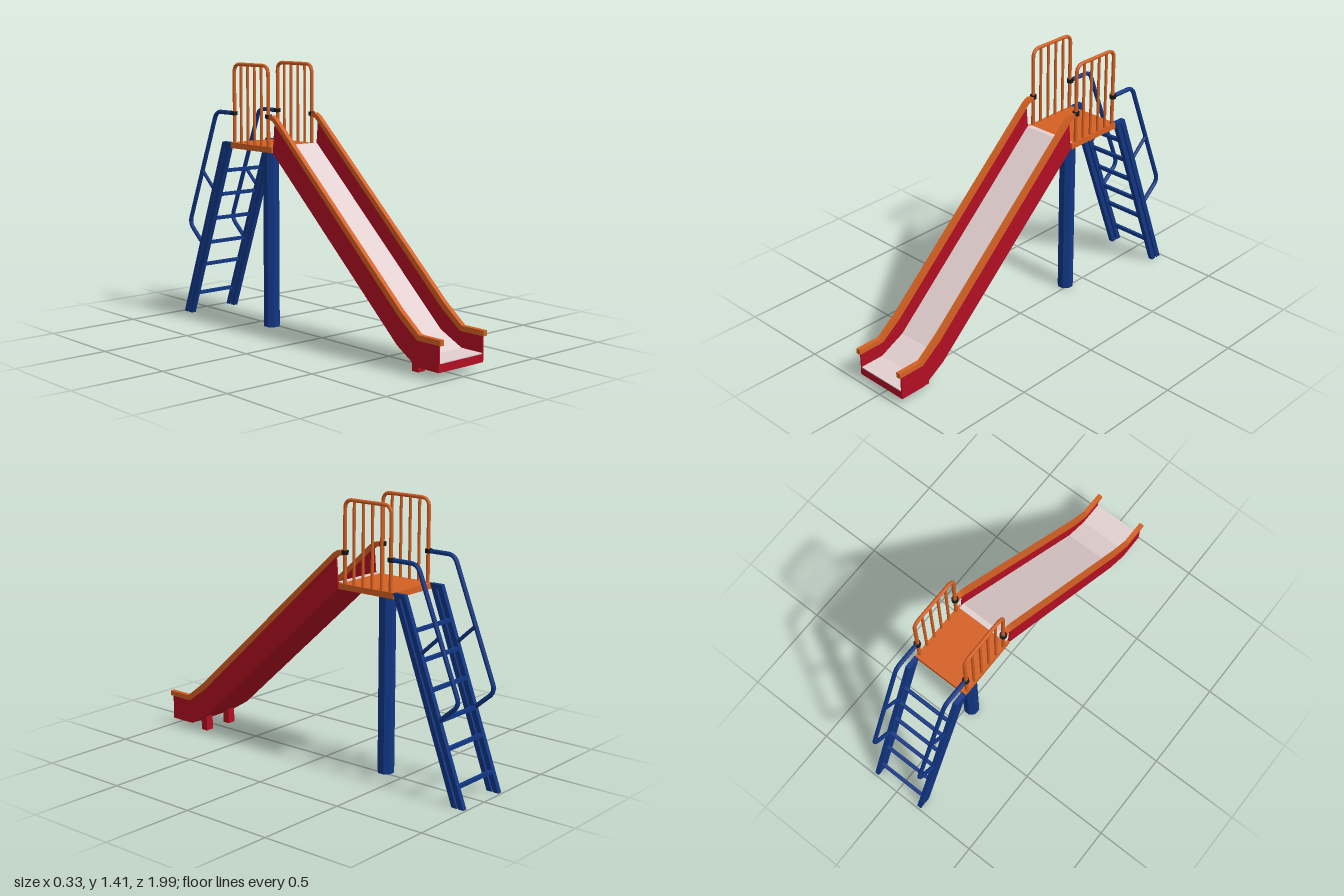
import * as THREE from 'three';

const mat = (name, color) => {
  const m = new THREE.MeshStandardMaterial({ color });
  m.name = name;
  return m;
};

export function createModel() {
  const orange = mat('orange', 0xd46022);
  const red = mat('red', 0xb20f22);
  const blue = mat('blue', 0x103684);
  const pale = mat('pale slide surface', 0xe2cfcf);
  const black = mat('black', 0x141414);

  const model = new THREE.Group();
  model.name = 'playgroundSlide';

  const add = (name, geometry, material, x = 0, y = 0, z = 0) => {
    const mesh = new THREE.Mesh(geometry, material);
    mesh.name = name;
    mesh.position.set(x, y, z);
    model.add(mesh);
    return mesh;
  };
  const box = (name, w, h, d, material, x, y, z) =>
    add(name, new THREE.BoxGeometry(w, h, d), material, x, y, z);
  // Side profile given as [z, y] points, extruded across x and centred on x
  const profile = (name, points, width, material, x = 0) => {
    const shape = new THREE.Shape(points.map(([z, y]) => new THREE.Vector2(z, y)));
    const geo = new THREE.ExtrudeGeometry(shape, { depth: width, bevelEnabled: false });
    geo.rotateY(-Math.PI / 2).translate(width / 2, 0, 0);
    return add(name, geo, material, x);
  };
  // Tube through [z, y] points with rounded corners
  const bentTube = (name, points, radius, bend, material, x) => {
    const p = points.map(([z, y]) => new THREE.Vector3(0, y, z));
    const path = new THREE.CurvePath();
    let from = p[0];
    for (let i = 1; i < p.length - 1; i++) {
      const a = p[i].clone().add(p[i - 1].clone().sub(p[i]).setLength(bend));
      const b = p[i].clone().add(p[i + 1].clone().sub(p[i]).setLength(bend));
      path.add(new THREE.LineCurve3(from, a));
      path.add(new THREE.QuadraticBezierCurve3(a, p[i], b));
      from = b;
    }
    path.add(new THREE.LineCurve3(from, p[p.length - 1]));
    return add(name, new THREE.TubeGeometry(path, 90, radius, 8), material, x);
  };

  // Chute: red bed with a thin pale sliding surface
  const under = [[0.985, 0.04], [0.84, 0.04], [0.71, 0.12], [-0.21, 0.955]];
  const top = [[-0.205, 0.98], [0.71, 0.146], [0.85, 0.081], [0.985, 0.081]];
  profile('chuteBed', [...under, ...top], 0.29, red);
  profile('slidingSurface', [
    ...[...top].reverse(), [-0.23, 0.98],
    [-0.23, 0.988], [-0.202, 0.988], [0.712, 0.152], [0.851, 0.086], [0.985, 0.086],
  ], 0.286, pale);

  // Feet under the chute exit
  for (const s of [-1, 1]) box('chuteFoot', 0.046, 0.08, 0.04, red, s * 0.085, 0.04, 0.79);

  // Platform and its post
  box('platform', 0.312, 0.03, 0.34, orange, 0, 0.97, -0.385);
  const post = new THREE.CylinderGeometry(0.044, 0.044, 0.957, 8).toNonIndexed();
  post.rotateY(Math.PI / 8).computeVertexNormals();
  add('supportPost', post, blue, -0.022, 0.4785, -0.383);

  for (const s of [-1, 1]) {
    const x = s * 0.147;

    // Chute side wall and capping rail
    profile('chuteWall', [
      ...under, [-0.195, 1.12], [0.73, 0.27], [0.85, 0.18], [0.985, 0.18],
    ], 0.008, red, x);
    profile('chuteRail', [
      [1, 0.17], [0.85, 0.17], [0.73, 0.257], [-0.19, 1.105], [-0.21, 1.122], [-0.25, 1.127],
      [-0.25, 1.147], [-0.208, 1.147], [-0.18, 1.13], [0.74, 0.29], [0.86, 0.197], [1, 0.197],
    ], 0.025, orange, s * 0.145);

    // Guard hoop with upright bars
    bentTube('guardHoop', [[-0.25, 0.975], [-0.25, 1.4], [-0.532, 1.4], [-0.532, 0.975]],
      0.0095, 0.045, orange, x);
    for (let i = 1; i <= 4; i++) {
      add('guardBar', new THREE.CylinderGeometry(0.0075, 0.0075, 0.42, 8), orange,
        x, 1.19, -0.25 - i * 0.0564);
    }

    // Collars joining the hoops to the rails
    for (const z of [-0.25, -0.535]) {
      add('collar', new THREE.CylinderGeometry(0.018, 0.018, 0.02, 12), black, x, 1.141, z);
    }

    // Ladder stringer: twin slanted bars closed at the top
    for (const z of [-0.555, -0.595]) {
      profile('ladderStringer', [
        [z, 0.985], [z - 0.029, 0.985], [z - 0.395, 0], [z - 0.366, 0],
      ], 0.025, blue, x);
    }
    profile('stringerTop', [[-0.555, 0.985], [-0.624, 0.985], [-0.632, 0.964], [-0.563, 0.964]],
      0.024, blue, x);

    // Ladder handrail and its brace
    bentTube('handrail', [
      [-0.535, 1.141], [-0.69, 1.141], [-0.938, 0.53], [-0.935, 0.49], [-0.825, 0.402],
    ].filter((_, i) => i !== 2).map((q, i) => (i === 2 ? [-0.945, 0.505] : q)),
    0.0115, 0.04, blue, x);
    bentTube('handrailBrace', [[-0.715, 0.712], [-0.822, 0.81]], 0.0095, 0.01, blue, x);
  }

  // Ladder rungs
  for (const z of [-0.677, -0.727, -0.778, -0.83, -0.878, -0.942]) {
    box('ladderRung', 0.29, 0.018, 0.018, blue, 0, (z + 0.98) / 0.37, z);
  }

  return model;
}
